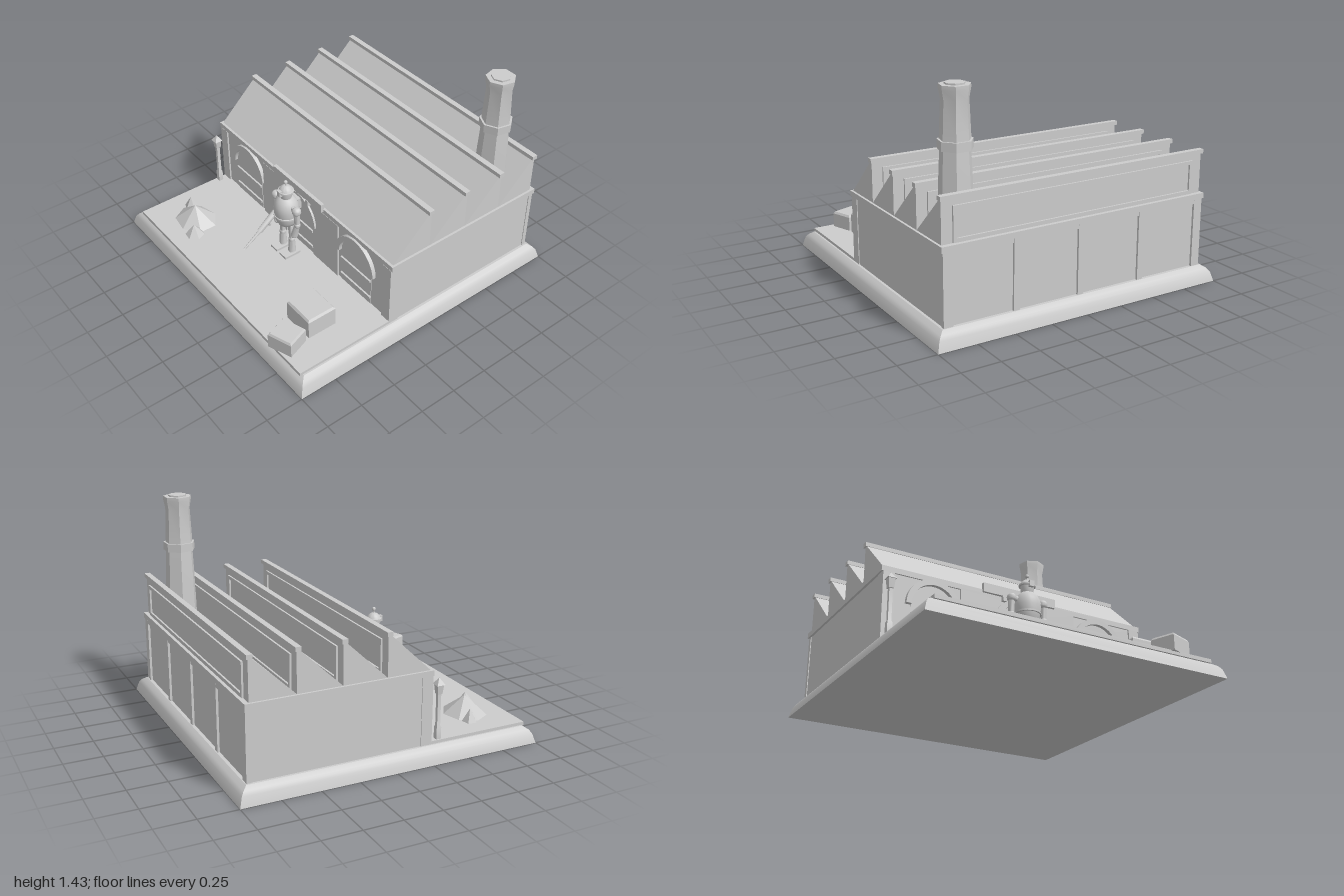
import * as THREE from 'three';
import { toCreasedNormals } from 'three/addons/utils/BufferGeometryUtils.js';

const grey = new THREE.MeshStandardMaterial({ color: 0xcccccc });
grey.name = 'plain grey';

function add(parent, name, geo, x = 0, y = 0, z = 0, crease = 0.6) {
  const m = new THREE.Mesh(toCreasedNormals(geo, crease), grey);
  m.name = name;
  m.position.set(x, y, z);
  parent.add(m);
  return m;
}

// Box given by its limits on each axis
function box(parent, name, x0, x1, y0, y1, z0, z1) {
  return add(parent, name, new THREE.BoxGeometry(x1 - x0, y1 - y0, z1 - z0),
    (x0 + x1) / 2, (y0 + y1) / 2, (z0 + z1) / 2);
}

// Profile of [radius, height] pairs turned about y
function turned(profile, sides, start = 0) {
  return new THREE.LatheGeometry(profile.map(([r, y]) => new THREE.Vector2(r, y)), sides, start);
}

// Square-plan version of the same, radius meaning half width
function squareTurned(profile) {
  return turned(profile.map(([r, y]) => [r * Math.SQRT2, y]), 4, Math.PI / 4);
}

// Tapered rod from a to b
function rod(parent, name, a, b, r0, r1, sides = 12) {
  const p = new THREE.Vector3(...a), q = new THREE.Vector3(...b);
  const d = q.clone().sub(p);
  const m = add(parent, name, new THREE.CylinderGeometry(r1, r0, d.length(), sides));
  m.position.copy(p).add(q).multiplyScalar(0.5);
  m.quaternion.setFromUnitVectors(new THREE.Vector3(0, 1, 0), d.normalize());
  return m;
}

function ball(parent, name, r, x, y, z) {
  return add(parent, name, new THREE.SphereGeometry(r, 16, 10), x, y, z);
}

function group(parent, name) {
  const g = new THREE.Group();
  g.name = name;
  parent.add(g);
  return g;
}

function makeBuilding(root) {
  const g = group(root, 'building');
  box(g, 'walls', -0.92, 0.92, 0.1, 0.56, -0.915, 0.262);
  box(g, 'cornice', -0.935, 0.935, 0.55, 0.585, -0.935, 0.272);

  // Front piers
  for (const s of [-1, 1]) {
    const [a, b] = s < 0 ? [-0.925, -0.85] : [0.85, 0.925];
    box(g, 'frontCornerPier', a, b, 0.1, 0.55, 0.2, 0.274);
  }
  // Central bay with an arched opening
  const bay = new THREE.Shape([[-0.41, 0.1], [-0.15, 0.1]].map(p => new THREE.Vector2(...p)));
  bay.lineTo(-0.15, 0.375);
  bay.absarc(0, 0.375, 0.15, Math.PI, 0, true);
  bay.lineTo(0.15, 0.1).lineTo(0.41, 0.1).lineTo(0.41, 0.55).lineTo(-0.41, 0.55);
  add(g, 'centralBay', new THREE.ExtrudeGeometry(bay, { depth: 0.014, bevelEnabled: false, curveSegments: 16 }), 0, 0, 0.26);

  // Doorways: half-ring arch, door edges and rails
  for (const x of [-0.59, 0, 0.59]) {
    const arch = new THREE.Shape();
    arch.absarc(0, 0, 0.185, 0, Math.PI, false);
    arch.absarc(0, 0, 0.15, Math.PI, 0, true);
    add(g, 'doorArch', new THREE.ExtrudeGeometry(arch, { depth: 0.03, bevelEnabled: false, curveSegments: 16 }), x, 0.375, 0.258);
    const leaf = new THREE.Shape();
    leaf.moveTo(-0.147, 0.1).lineTo(0.147, 0.1).lineTo(0.147, 0.375);
    leaf.absarc(0, 0.375, 0.147, 0, Math.PI, false);
    add(g, 'doorLeaf', new THREE.ExtrudeGeometry(leaf, { depth: 0.006, bevelEnabled: false, curveSegments: 16 }), x, 0, 0.26);
    for (const y of [0.18, 0.315]) box(g, 'doorRail', x - 0.145, x + 0.145, y - 0.008, y + 0.008, 0.262, 0.278);
  }
  box(g, 'signBoard', -0.26, 0.26, 0.565, 0.625, 0.265, 0.29);
  for (const x of [-0.11, 0.11]) box(g, 'signBracket', x - 0.015, x + 0.015, 0.53, 0.57, 0.265, 0.295);

  // Back piers and top rail
  for (let i = 0; i < 5; i++) {
    const x = -0.895 + i * 0.4475, w = i % 4 ? 0.02 : 0.03;
    box(g, 'backPier', x - w, x + w, 0.1, 0.55, -0.93, -0.9);
  }
  box(g, 'backRail', -0.92, 0.92, 0.52, 0.55, -0.928, -0.9);

  // Sawtooth roof: sloped to the front, upright at the back
  for (let i = 0; i < 4; i++) {
    const z0 = 0.26 - i * 0.29, z1 = z0 - 0.295;
    const tooth = new THREE.Shape([[-z0, 0.58], [-z1, 0.58], [-z1, 0.84], [-z1 - 0.02, 0.84]].map(p => new THREE.Vector2(...p)));
    const geo = new THREE.ExtrudeGeometry(tooth, { depth: 1.84, bevelEnabled: false });
    geo.rotateY(Math.PI / 2);
    add(g, 'roofTooth', geo, -0.92, 0, 0);
    box(g, 'ridgeCap', -0.93, 0.93, 0.838, 0.865, z1 - 0.012, z1 + 0.026);
    // Frame around the upright roof light
    const zf = z1 - 0.012;
    for (const y of [0.6, 0.79]) box(g, 'roofLightRail', -0.85, 0.85, y - 0.012, y + 0.012, zf, z1 + 0.002);
    for (const x of [-0.838, 0.838]) box(g, 'roofLightPost', x - 0.012, x + 0.012, 0.6, 0.79, zf, z1 + 0.002);
  }

  // Seven-sided chimney
  add(g, 'chimney', turned([[0.108, 0.58], [0.1, 0.87], [0.091, 1.06], [0.106, 1.06], [0.106, 1.115],
    [0.093, 1.115], [0.083, 1.34], [0.094, 1.4], [0.094, 1.425], [0.062, 1.425], [0.062, 1.435], [0, 1.435]], 7),
  0.725, 0, -0.725, 0.25);
}

function makeYard(root) {
  const g = group(root, 'yard');
  // Lamp post
  const lamp = group(g, 'lampPost');
  lamp.position.set(-0.9, 0, 0.33);
  add(lamp, 'post', squareTurned([[0.016, 0.12], [0.016, 0.2], [0.011, 0.21], [0.011, 0.42]]));
  add(lamp, 'lantern', squareTurned([[0, 0.41], [0.016, 0.415], [0.022, 0.475], [0.028, 0.475], [0, 0.518]]), 0, 0, 0, 0.25);

  // Heap of rubble: pointed cones of uneven outline
  const heaps = [[-0.63, 0.7, 0.16, 0.125, 7, 0.25], [-0.765, 0.655, 0.052, 0.09, 5, 0.2], [-0.505, 0.79, 0.068, 0.085, 6, 0.4]];
  for (const [x, z, r, h, n, turn] of heaps) {
    const m = add(g, 'rubble', new THREE.ConeGeometry(r, h, n), x, 0.12 + h / 2, z, 0.1);
    m.rotation.y = turn;
    if (n === 7) m.scale.z = 0.86;
  }

  // Crates with bevelled lids
  const crates = [[0.622, 0.645, 0.224, 0.205, 0.145, 0], [0.685, 0.875, 0.17, 0.158, 0.112, 0.34]];
  for (const [x, z, w, d, h, turn] of crates) {
    const crate = add(g, 'crate', squareTurned([[0, 0], [0.5, 0], [0.5, h - 0.014], [0.45, h], [0, h]]), x, 0.12, z, 0.25);
    crate.scale.set(w, 1, d);
    crate.rotation.y = turn;
  }
}

function makeRobot(root) {
  const g = group(root, 'robot');
  g.position.set(0, 0, 0.375);
  add(g, 'body', turned([[0, 0.342], [0.035, 0.346], [0.058, 0.362], [0.072, 0.39], [0.078, 0.425], [0.085, 0.427],
    [0.085, 0.438], [0.08, 0.44], [0.084, 0.48], [0.079, 0.52], [0.063, 0.553], [0.045, 0.57], [0.035, 0.575], [0, 0.575]], 24));
  add(g, 'head', turned([[0.036, 0.57], [0.04, 0.585], [0.043, 0.618], [0.053, 0.62], [0.053, 0.63], [0.045, 0.632],
    [0.036, 0.65], [0.02, 0.662], [0.007, 0.667], [0, 0.667]], 20));
  rod(g, 'antenna', [0, 0.66, 0], [0, 0.69, 0], 0.005, 0.005, 8);
  ball(g, 'antennaBall', 0.013, 0, 0.692, 0);
  box(g, 'visor', -0.015, 0.015, 0.602, 0.642, 0.035, 0.06);
  box(g, 'backpack', -0.04, 0.04, 0.46, 0.54, -0.092, -0.06);
  for (const s of [-1, 1]) {
    // Shoulders, legs and feet
    rod(g, 'shoulderJoint', [s * 0.06, 0.52, 0], [s * 0.11, 0.52, 0], 0.018, 0.018);
    ball(g, 'shoulder', 0.031, s * 0.112, 0.52, 0);
    const x = s * 0.05;
    rod(g, 'thigh', [x * 0.9, 0.36, 0], [x, 0.25, 0], 0.018, 0.018);
    ball(g, 'knee', 0.023, x, 0.245, 0);
    rod(g, 'shin', [x, 0.15, 0], [x, 0.24, 0], 0.027, 0.021);
    add(g, 'ankle', new THREE.CylinderGeometry(0.02, 0.025, 0.02, 12), x, 0.145, 0);
    box(g, 'foot', x - 0.034, x + 0.034, 0.124, 0.14, -0.045, 0.078);
  }
  // Arms
  for (const s of [-1, 1]) {
    const elbow = [s * 0.116, 0.41, 0], hand = [s * 0.095, 0.315, 0.01];
    rod(g, 'upperArm', [s * 0.114, 0.52, 0], elbow, 0.022, 0.018);
    ball(g, 'elbow', 0.023, ...elbow);
    rod(g, 'forearm', elbow, hand, 0.018, 0.024);
    ball(g, 'hand', 0.022, ...hand);
  }
  // Tool held forward and down
  rod(g, 'toolBody', [-0.105, 0.40, 0], [-0.09, 0.295, 0.16], 0.022, 0.018);
  rod(g, 'toolBarrel', [-0.09, 0.295, 0.16], [-0.078, 0.22, 0.295], 0.012, 0.006);
  rod(g, 'toolGrip', [-0.097, 0.345, 0.085], [-0.097, 0.305, 0.07], 0.011, 0.011, 8);
}

export function createModel() {
  const root = new THREE.Group();
  root.name = 'factoryDiorama';
  // Plinth and yard paving
  add(root, 'plinth', squareTurned([[0, 0], [1, 0], [0.982, 0.062], [0.965, 0.085], [0.936, 0.105], [0, 0.105]]));
  box(root, 'paving', -0.925, 0.925, 0.1, 0.124, 0.25, 0.955);
  makeBuilding(root);
  makeYard(root);
  makeRobot(root);
  return root;
}
